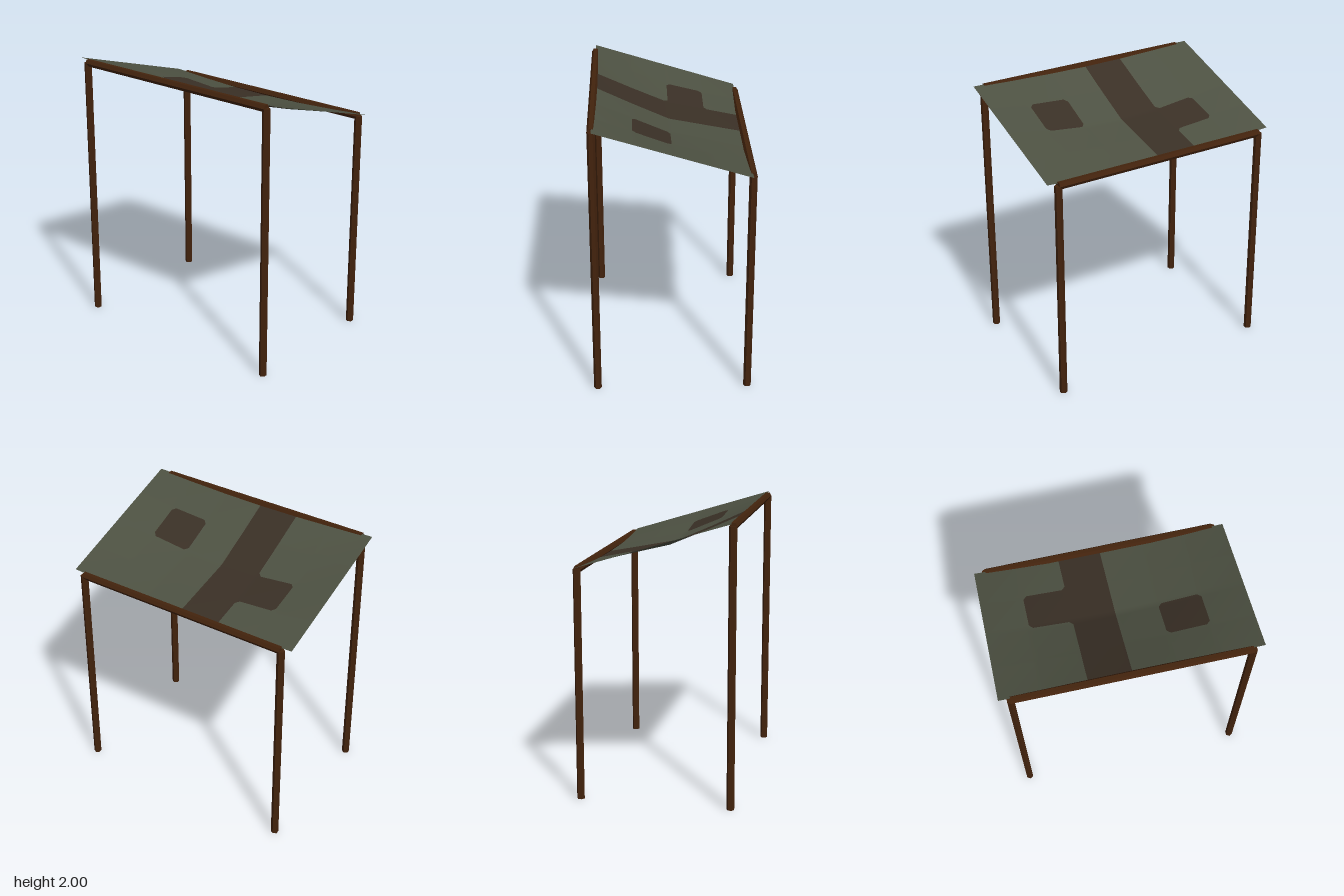
import * as THREE from 'three';

const wood = new THREE.MeshStandardMaterial({ color: 0x43230d, flatShading: true });
wood.name = 'dark wood';
const canvas = new THREE.MeshStandardMaterial({ color: 0x4d5142, side: THREE.DoubleSide });
canvas.name = 'olive canvas';
const patch = new THREE.MeshStandardMaterial({ color: 0x3a3026, side: THREE.DoubleSide });
patch.name = 'brown patch';

const R = 0.0275;                    // pole radius (hexagonal, points along z)
const APOTHEM = R * Math.cos(Math.PI / 6);
const POST_X = 0.82, POST_Z = 0.537;
const HALF_W = 0.9, HALF_D = 0.534;  // cloth size
const COLS = 6, ROWS = 4;
const CX = (2 * HALF_W) / COLS, CZ = (2 * HALF_D) / ROWS;
const M = 0.025;                     // chamfer of the patch corners

// Sag along the middle of the cloth, from the back row to the front row
const SAG = [0.035, 0.065, 0.095, 0.057, 0.012];

function gridHeight(i, j) {
  return 1.67 + (0.33 * j) / ROWS - SAG[j] * Math.sin((Math.PI * i) / COLS);
}

// Height anywhere, interpolated inside the coarse cells
function clothHeight(x, z) {
  const u = (x + HALF_W) / CX, v = (z + HALF_D) / CZ;
  const i = Math.min(COLS - 1, Math.max(0, Math.floor(u + 1e-6)));
  const j = Math.min(ROWS - 1, Math.max(0, Math.floor(v + 1e-6)));
  const mix = THREE.MathUtils.lerp;
  return mix(
    mix(gridHeight(i, j), gridHeight(i + 1, j), u - i),
    mix(gridHeight(i, j + 1), gridHeight(i + 1, j + 1), u - i), v - j);
}

// Patch layout: one stripe, one arm beside it, one separate square
function isPatch(x, z) {
  if (x > -CX && x < 0) return true;
  const inSquare = (cx, cz) => {
    const dx = Math.abs(x - cx), dz = Math.abs(z - cz);
    return dx < CX / 2 && dz < CZ / 2 && dx + dz < (CX + CZ) / 2 - M;
  };
  if (inSquare(1.5 * CX, 0.5 * CZ) || inSquare(-1.5 * CX, -0.5 * CZ)) return true;
  // square inner end of the arm and the small fillets where it meets the stripe
  if (x < -CX && x > -1.5 * CX && z > -CZ && z < 0) return true;
  return x < -CX && [0, -CZ].some(c => Math.abs(x + CX) + Math.abs(z - c) < M);
}

// Cell borders plus a margin line on each side of them
function gridLines(count, step, start) {
  const lines = [];
  for (let i = 0; i < count; i++) {
    const a = start + i * step;
    lines.push(a, a + M, a + step - M);
  }
  lines.push(start + count * step);
  return lines;
}

function clothGeometry() {
  const xs = gridLines(COLS, CX, -HALF_W), zs = gridLines(ROWS, CZ, -HALF_D);
  const pos = [], faces = [[], []];
  for (const z of zs) for (const x of xs) pos.push(x, clothHeight(x, z), z);
  const addFace = (...ids) => {
    const mean = k => ids.reduce((s, id) => s + pos[id * 3 + k], 0) / 3;
    faces[isPatch(mean(0), mean(2)) ? 1 : 0].push(...ids);
  };
  for (let j = 0; j < zs.length - 1; j++) {
    for (let i = 0; i < xs.length - 1; i++) {
      const a = j * xs.length + i, b = a + xs.length, c = b + 1, d = a + 1;
      // diagonals cut across the corners of each cell
      if ((i % 3 === 0) === (j % 3 === 0) || (i % 3 === 2) === (j % 3 === 2) && i % 3 !== 0 && j % 3 !== 0) {
        addFace(a, b, d);
        addFace(b, c, d);
      } else {
        addFace(a, b, c);
        addFace(a, c, d);
      }
    }
  }
  const geo = new THREE.BufferGeometry();
  geo.setAttribute('position', new THREE.Float32BufferAttribute(pos, 3));
  geo.setIndex([...faces[0], ...faces[1]]);
  geo.addGroup(0, faces[0].length, 0);
  geo.addGroup(faces[0].length, faces[1].length, 1);
  geo.computeVertexNormals();
  return geo;
}

export function createModel() {
  const model = new THREE.Group();
  model.name = 'canopy';
  const add = (geo, material, name) => {
    const mesh = new THREE.Mesh(geo, material);
    mesh.name = name;
    model.add(mesh);
    return mesh;
  };

  // Posts and crossbars: tall pair in front, short pair behind
  for (const [end, z, top] of [['front', POST_Z, 2], ['back', -POST_Z, 1.672]]) {
    const barY = top - APOTHEM;
    for (const [side, x] of [['Left', POST_X], ['Right', -POST_X]]) {
      const post = add(new THREE.CylinderGeometry(R, R, barY, 6), wood, end + side + 'Post');
      post.position.set(x, barY / 2, z);
    }
    const bar = add(new THREE.CylinderGeometry(R, R, 2 * POST_X, 6).rotateZ(Math.PI / 2), wood, end + 'Crossbar');
    bar.position.set(0, barY, z);
  }

  // Sagging cloth roof
  add(clothGeometry(), [canvas, patch], 'clothRoof');
  return model;
}
